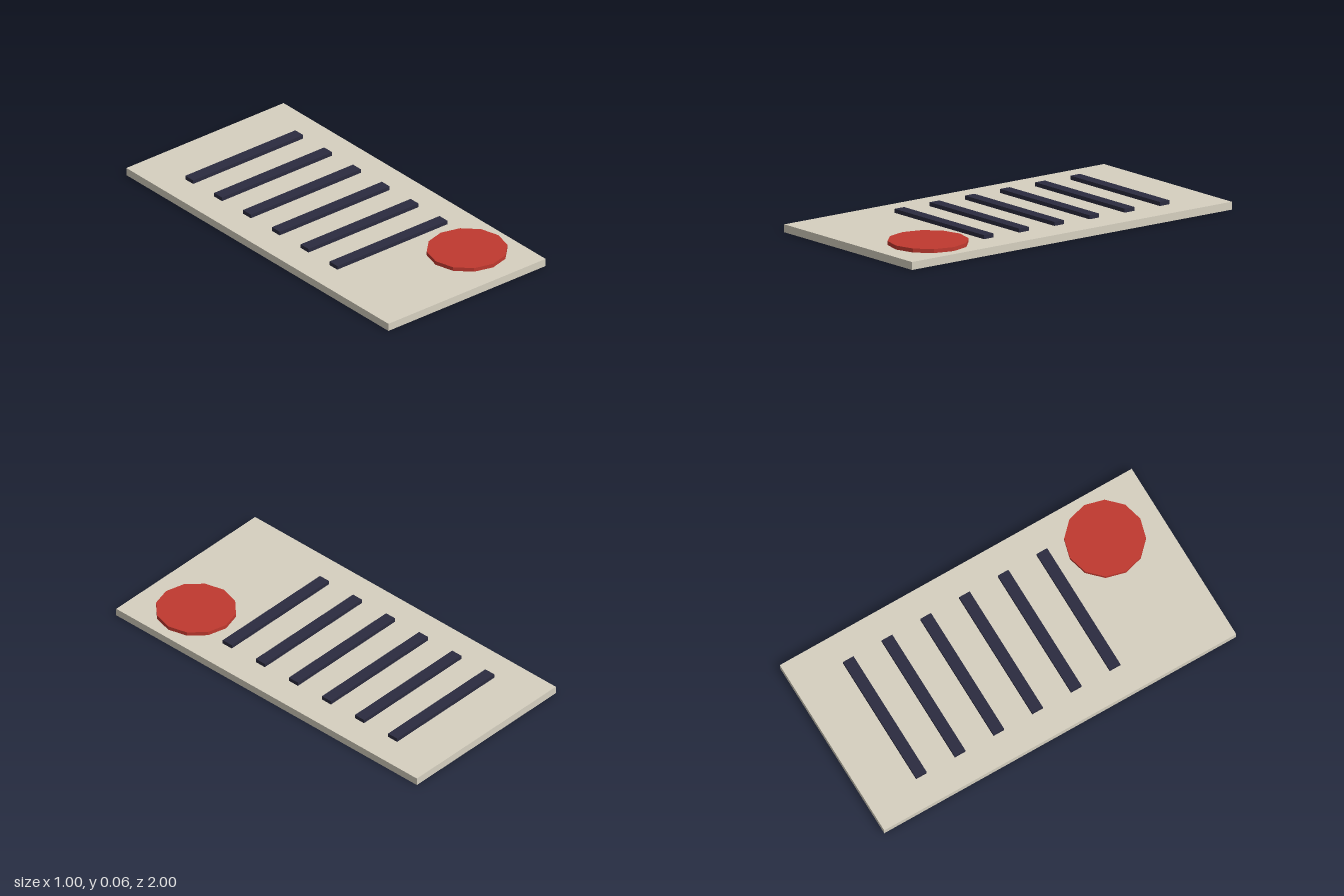
import * as THREE from 'three';

const paint = (color) => new THREE.MeshStandardMaterial({ color, flatShading: true });

export function createModel() {
  const model = new THREE.Group();
  model.name = 'sealedNote';

  const add = (name, geometry, material, x, y, z) => {
    const mesh = new THREE.Mesh(geometry, material);
    mesh.name = name;
    mesh.position.set(x, y, z);
    model.add(mesh);
  };

  // Flat sheet lying on the ground
  add('sheet', new THREE.BoxGeometry(1, 0.04, 2), paint(0xd6d0c0), 0, 0.02, 0);

  // Six raised lines, evenly spaced from back to front
  const lineGeometry = new THREE.BoxGeometry(0.7, 0.02, 0.06);
  const ink = paint(0x2b2b3f);
  for (let i = 0; i < 6; i++) {
    add(`line${i + 1}`, lineGeometry, ink, 0, 0.05, -0.7 + i * 0.22);
  }

  // Twelve-sided seal in the front left corner
  add('seal', new THREE.CylinderGeometry(0.2, 0.2, 0.02, 12), paint(0xc0392f), 0.25, 0.05, 0.7);

  return model;
}
